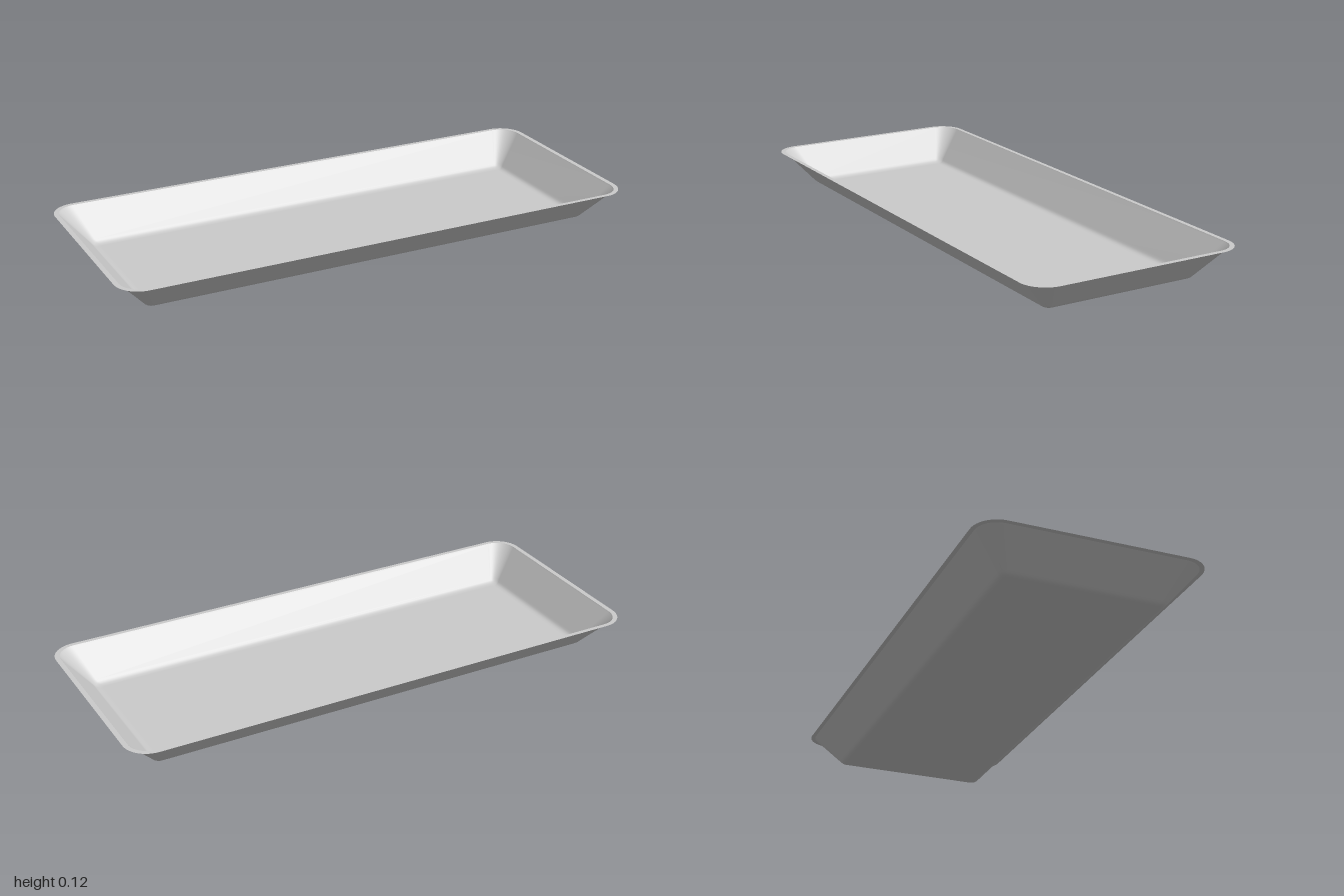
import * as THREE from 'three';

const material = new THREE.MeshStandardMaterial({ color: 0xcccccc, side: THREE.DoubleSide });
const CORNER_STEPS = 12;

// Counter-clockwise rounded rectangle (seen from above) at height y
function ring(halfX, halfZ, radius, y) {
  const points = [];
  [[1, -1], [-1, -1], [-1, 1], [1, 1]].forEach(([sx, sz], corner) => {
    for (let i = 0; i <= CORNER_STEPS; i++) {
      const a = (corner + i / CORNER_STEPS) * Math.PI / 2;
      points.push([
        sx * (halfX - radius) + radius * Math.cos(a), y,
        sz * (halfZ - radius) - radius * Math.sin(a),
      ]);
    }
  });
  return points;
}

// Smooth skin through a list of rings running from the inside outwards
function loft(rings, closeFloor) {
  const n = rings[0].length;
  const positions = rings.flat(2);
  const index = [];
  for (let r = 0; r < rings.length - 1; r++) {
    for (let i = 0; i < n; i++) {
      const a = r * n + i, b = r * n + (i + 1) % n;
      index.push(a, a + n, b, b, a + n, b + n);
    }
  }
  if (closeFloor) {
    const centre = positions.length / 3;
    positions.push(0, rings[0][0][1], 0);
    for (let i = 0; i < n; i++) index.push(centre, i, (i + 1) % n);
  }
  const geometry = new THREE.BufferGeometry();
  geometry.setAttribute('position', new THREE.Float32BufferAttribute(positions, 3));
  geometry.setIndex(index);
  geometry.computeVertexNormals();
  return geometry;
}

function part(name, geometry) {
  const mesh = new THREE.Mesh(geometry, material);
  mesh.name = name;
  return mesh;
}

export function createModel() {
  const group = new THREE.Group();
  group.name = 'tray';
  const top = 0.124;

  // Flat floor, small fillet, then sloping walls whose corners widen upwards.
  // Each entry: inset from the wall top edge, height, corner radius
  const profile = [
    [0.128, 0, 0.012], [0.124, 0, 0.014], [0.114, 0.001, 0.018], [0.106, 0.004, 0.022],
    [0.100, 0.009, 0.025], [0.095, 0.015, 0.027], [0.003, 0.12, 0.075], [0, top, 0.077],
  ];
  const basin = profile.map(([inset, y, r]) => ring(0.982 - inset, 0.4 - inset, r, y));
  group.add(part('basin', loft(basin, true)));

  // Narrow flat rim around the opening
  group.add(part('rim', loft([
    ring(0.982, 0.4, 0.077, top),
    ring(1, 0.416, 0.093, top),
  ], false)));

  return group;
}
